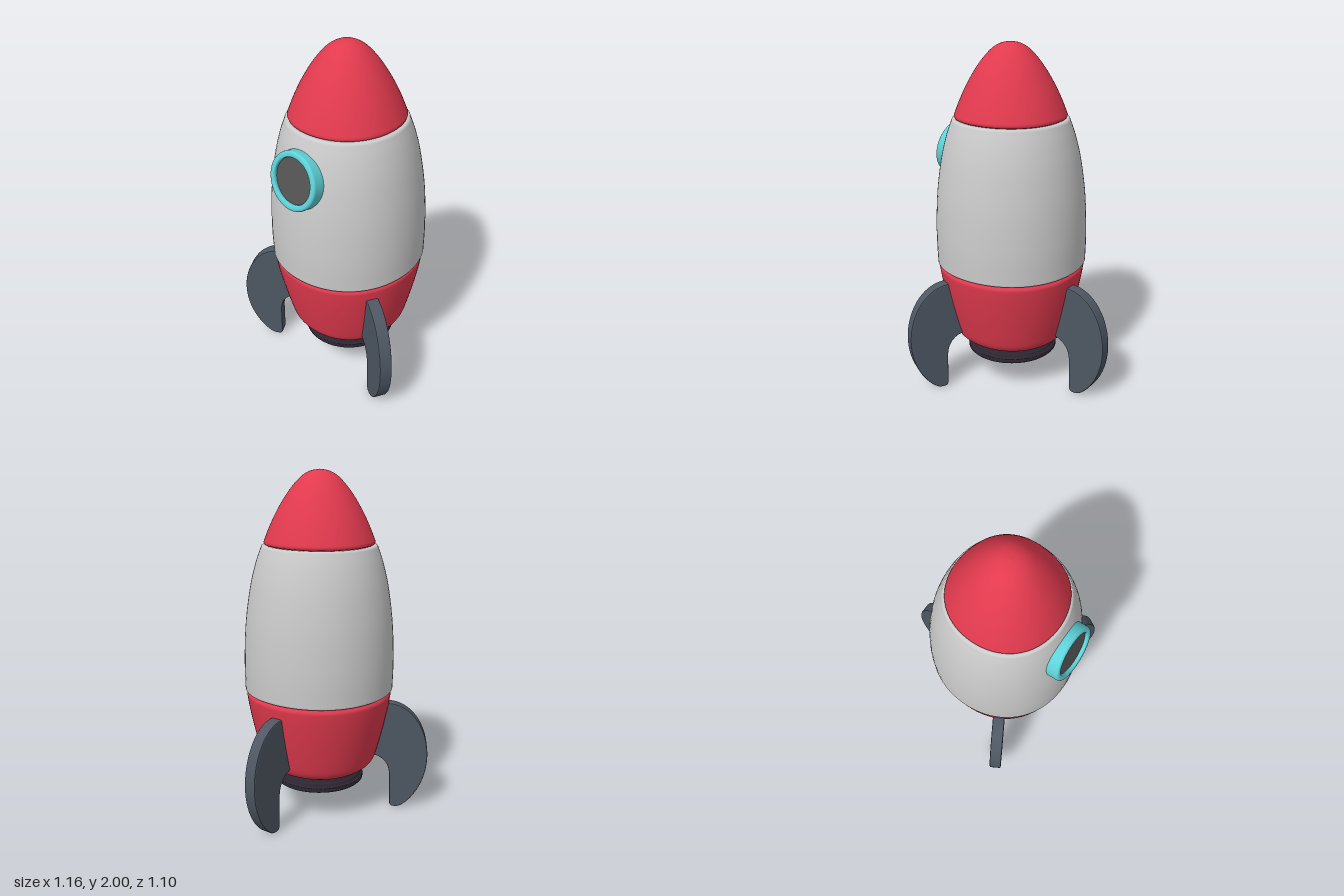
import * as THREE from 'three';

const mat = (color) => new THREE.MeshStandardMaterial({ color });
const V = (x, y) => new THREE.Vector2(x, y);

// Smooth curve through [radius, height] pairs
const curve = (pts, n = 24) => new THREE.SplineCurve(pts.map((p) => V(...p))).getPoints(n);
const line = (pts) => pts.map((p) => V(...p));

// Turned part whose section is very slightly squared off
function turned(name, points, material, square = 0.02) {
  const geo = new THREE.LatheGeometry(points, 72);
  const pos = geo.attributes.position;
  for (let i = 0; i < pos.count; i++) {
    const x = pos.getX(i), z = pos.getZ(i);
    const k = 1 + square * Math.sin(2 * Math.atan2(z, x)) ** 2;
    pos.setX(i, x * k);
    pos.setZ(i, z * k);
  }
  const mesh = new THREE.Mesh(geo, material);
  mesh.name = name;
  return mesh;
}

export function createModel() {
  const red = mat(0xe23a4e), grey = mat(0xcccccc), slate = mat(0x4e5763);
  const dark = mat(0x2c2631), cyan = mat(0x5fd3da), glass = mat(0x555555);

  const rocket = new THREE.Group();
  rocket.name = 'rocket';
  rocket.position.set(-0.004, 0, 0.098);

  // Nose cone with a small rolled lip
  rocket.add(turned('noseCone', [
    ...line([[0, 1.58], [0.294, 1.58], [0.296, 1.588], [0.306, 1.592]]),
    ...curve([[0.31, 1.603], [0.28, 1.68], [0.235, 1.775], [0.175, 1.875],
      [0.11, 1.953], [0.055, 1.989], [0, 2.0]], 30),
  ], red));

  // Main hull
  rocket.add(turned('hull', [
    ...line([[0, 0.745], [0.42, 0.745], [0.424, 0.747], [0.426, 0.752]]),
    ...curve([[0.426, 0.76], [0.428, 0.93], [0.416, 1.15], [0.388, 1.35], [0.355, 1.488], [0.325, 1.575]], 30),
    ...line([[0.322, 1.582], [0.315, 1.586], [0.31, 1.587], [0, 1.587]]),
  ], grey));

  // Lower hull with rounded bottom and recessed seam at the top
  rocket.add(turned('lowerHull', [
    ...line([[0, 0.265], [0.2, 0.265]]),
    ...curve([[0.24, 0.266], [0.29, 0.277], [0.325, 0.31], [0.348, 0.38],
      [0.382, 0.52], [0.406, 0.64], [0.417, 0.715]], 30),
    ...line([[0.416, 0.725], [0.408, 0.734], [0.405, 0.738], [0.405, 0.75]]),
  ], red));

  // Stepped engine nozzle
  rocket.add(turned('nozzle', line([
    [0, 0.185], [0.255, 0.185], [0.257, 0.18], [0.264, 0.18], [0.267, 0.183], [0.267, 0.203],
    [0.263, 0.206], [0.252, 0.207], [0.251, 0.222], [0.247, 0.226], [0.238, 0.228],
    [0.236, 0.242], [0.232, 0.246], [0.221, 0.248], [0.219, 0.28],
  ]), dark, 0));

  // Three curved fins, one at the back and two toward the front
  const fin = new THREE.Shape();
  fin.moveTo(0.36, 0.655);
  fin.lineTo(0.42, 0.655);
  fin.bezierCurveTo(0.56, 0.645, 0.645, 0.49, 0.645, 0.33);
  fin.bezierCurveTo(0.645, 0.18, 0.57, 0.06, 0.5, 0.015);
  fin.bezierCurveTo(0.485, 0.006, 0.465, 0.006, 0.453, 0.008);
  fin.quadraticCurveTo(0.441, 0.01, 0.441, 0.03);
  fin.lineTo(0.437, 0.2);
  fin.bezierCurveTo(0.433, 0.27, 0.41, 0.305, 0.365, 0.33);
  fin.lineTo(0.32, 0.345);
  fin.closePath();
  const finGeo = new THREE.ExtrudeGeometry(fin, {
    depth: 0.056, bevelThickness: 0.007, bevelSize: 0.007, bevelSegments: 2, curveSegments: 20,
  });
  finGeo.translate(0, 0, -0.028);
  ['finBack', 'finRight', 'finLeft'].forEach((name, i) => {
    const mesh = new THREE.Mesh(finGeo, slate);
    mesh.name = name;
    mesh.rotation.y = Math.PI / 2 + (i * 2 * Math.PI) / 3;
    rocket.add(mesh);
  });

  // Porthole, tilted to follow the hull
  const porthole = new THREE.Group();
  porthole.name = 'porthole';
  porthole.position.set(0, 1.368, 0.424);
  porthole.rotation.x = Math.PI / 2 - 0.19;
  porthole.add(turned('portholeRim', line([
    [0.16, -0.11], [0.16, -0.012], [0.158, -0.005], [0.152, 0], [0.146, 0.001],
    [0.134, 0.001], [0.129, -0.001], [0.126, -0.006], [0.126, -0.04],
  ]), cyan, 0));
  const pane = new THREE.Mesh(new THREE.CylinderGeometry(0.128, 0.128, 0.07, 48), glass);
  pane.name = 'portholeGlass';
  pane.position.y = -0.053;
  porthole.add(pane);
  rocket.add(porthole);

  const model = new THREE.Group();
  model.add(rocket);
  return model;
}
